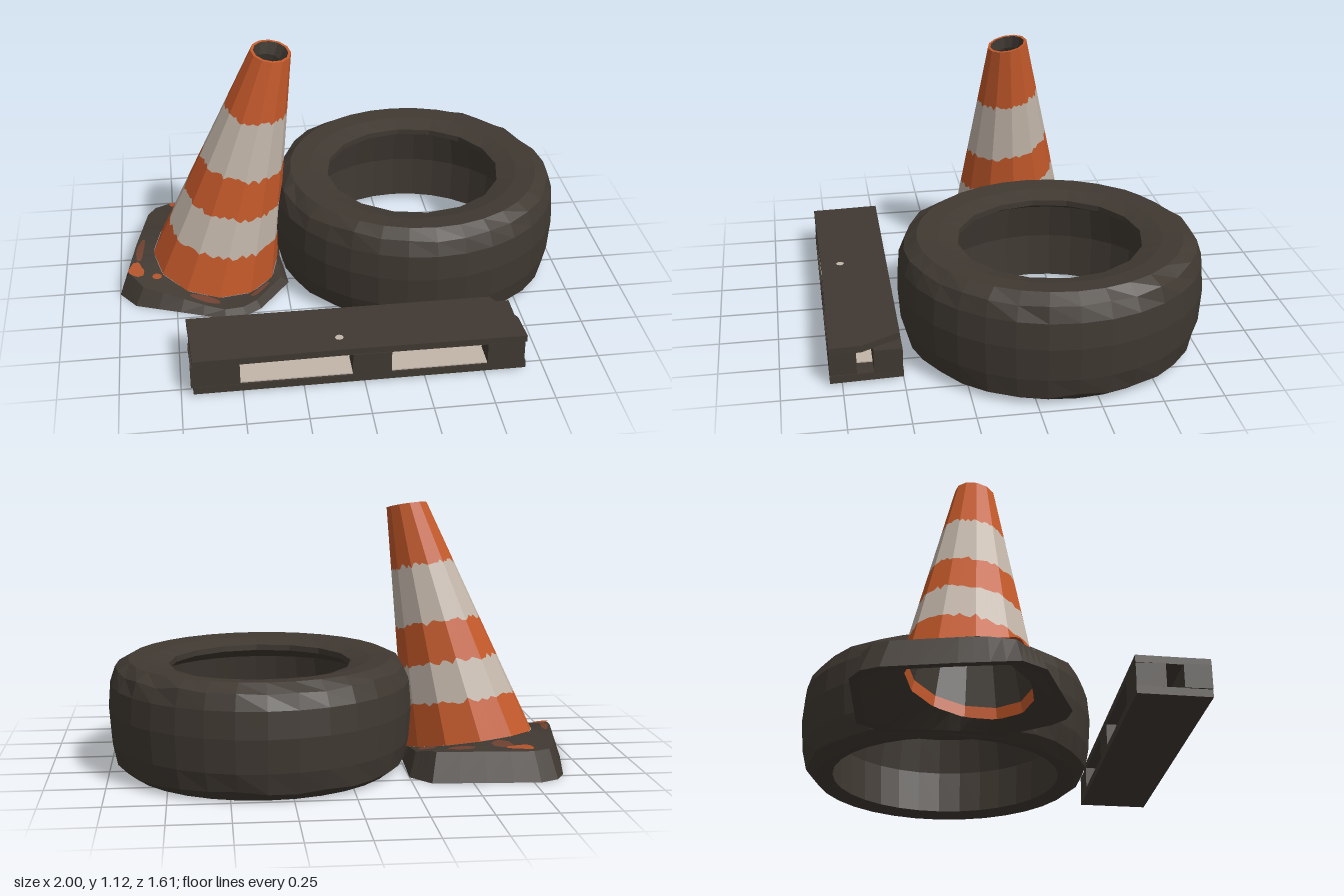
import * as THREE from 'three';

const mat = (name, color, double) => {
  const m = new THREE.MeshStandardMaterial({ color, flatShading: true });
  m.name = name;
  if (double) m.side = THREE.DoubleSide;
  return m;
};
const { lerp, clamp } = THREE.MathUtils;
const hash = (i, k) => { const s = Math.sin(i * 127.1 + k * 311.7) * 43758.5453; return s - Math.floor(s); };

// Surface patch from fn(u, v) -> [x, y, z], with u and v in 0..1
function grid(nu, nv, fn) {
  const pos = [], idx = [];
  for (let j = 0; j <= nv; j++) for (let i = 0; i <= nu; i++) pos.push(...fn(i / nu, j / nv, i));
  for (let j = 0; j < nv; j++) for (let i = 0; i < nu; i++) {
    const a = j * (nu + 1) + i, b = a + 1, c = a + nu + 1, d = c + 1;
    idx.push(a, c, b, b, c, d);
  }
  const g = new THREE.BufferGeometry();
  g.setAttribute('position', new THREE.Float32BufferAttribute(pos, 3));
  g.setIndex(idx);
  g.computeVertexNormals();
  return g;
}

export function createModel() {
  const model = new THREE.Group();
  const rubber = mat('dark rubber', 0x403932);
  const orange = mat('cone orange', 0xc4592a);
  const pale = mat('pale grey', 0xc3b6aa);
  const worn = mat('worn orange', 0xb0522a, true);
  const faded = mat('faded brown', 0x6f4030, true);
  const add = (parent, name, geo, m) => {
    const mesh = new THREE.Mesh(geo, m);
    mesh.name = name;
    parent.add(mesh);
    return mesh;
  };
  const group = name => { const g = new THREE.Group(); g.name = name; model.add(g); return g; };

  // Tyre: closed profile with a narrow upper lip and a wide lower opening
  const seg = 32;
  const profile = [
    [0.50, 0.025], [0.57, 0.006], [0.615, 0.045], [0.637, 0.13], [0.647, 0.27], [0.638, 0.38], [0.612, 0.445],
    [0.56, 0.478], [0.47, 0.472], [0.39, 0.45], [0.39, 0.425], [0.475, 0.38], [0.51, 0.22], [0.50, 0.025],
  ].map(p => new THREE.Vector2(...p));
  const tyreGeo = new THREE.LatheGeometry(profile, seg);
  const tp = tyreGeo.attributes.position;
  for (let i = 0; i < tp.count; i++) {
    const ring = Math.floor(i / profile.length) % seg, k = i % profile.length;
    let s = 1, dy = 0;
    if (k === 9 || k === 10) s = ring % 2 ? Math.cos(Math.PI * 2 / seg) : 1;   // coarser inner hole
    if (k === 2 || k === 6) { s = 0.99 + 0.02 * hash(ring, k); dy = 0.02 * (hash(ring, k + 3) - 0.5); }
    tp.setXYZ(i, tp.getX(i) * s, tp.getY(i) + dy, tp.getZ(i) * s * 1.006);
  }
  tyreGeo.computeVertexNormals();
  add(model, 'tyre', tyreGeo, rubber).position.set(0.355, 0, -0.16);

  // Leaning cone: twelve-sided, with tilted cross-sections
  const cone = group('trafficCone');
  const sides = 12, steps = 72, cx = -0.56, cz = -0.125, step = 2 * Math.PI / sides;
  const conePoint = (t, a, inset = 0) => {
    const local = ((a % step) + step) % step;
    const r = lerp(0.283, 0.087, t) * Math.cos(step / 2) / Math.cos(local - step / 2) - inset;
    const dx = r * Math.cos(a), dz = r * Math.sin(a);
    return [lerp(cx, -0.285, t) + dx, lerp(0.085, 1.11, t) - 0.12 * dx - 0.18 * dz, lerp(cz, -0.085, t) + dz];
  };
  const limits = [0, 0.172, 0.338, 0.503, 0.745, 1];
  const ragged = (k, i) => limits[k] + (k > 0 && k < 5 ? 0.024 * (hash(i % steps, k) - 0.5) : 0);
  for (let k = 0; k < 5; k++) {
    add(cone, k % 2 ? 'paleBand' : 'orangeBand',
      grid(steps, 1, (u, v, i) => conePoint(ragged(k + v, i), u * 2 * Math.PI)), k % 2 ? pale : orange);
  }
  // Thin orange lip over a dark inner wall that thickens downward
  add(cone, 'coneRim', grid(sides, 1, (u, v) => conePoint(1, u * 2 * Math.PI, 0.012 * v)), orange);
  const inside = (t0, t1, in0, in1) =>
    grid(sides, 1, (u, v) => conePoint(lerp(t0, t1, v), -u * 2 * Math.PI, lerp(in0, in1, v)));
  add(cone, 'coneMouth', inside(0.95, 1, 0.035, 0.012), rubber);
  add(cone, 'coneInside', inside(0.05, 0.95, 0.027, 0.035), rubber);
  add(cone, 'coneInsideEdge', inside(0, 0.05, 0.027, 0.027), orange);

  // Bent rubber base with a sloping skirt and an open underside
  const outline = [[-0.24, 0.03], [-0.38, 0.22], [-0.45, 0.27], [-0.54, 0.28], [-0.93, 0.13], [-1, 0.03], [-0.96, -0.2],
    [-0.9, -0.48], [-0.86, -0.55], [-0.78, -0.59], [-0.33, -0.56], [-0.25, -0.46], [-0.26, -0.2]];
  const n = outline.length;
  const edge = q => {
    const i = Math.floor(q + 1e-6), f = q - i, a = outline[i % n], b = outline[(i + 1) % n];
    return [lerp(a[0], b[0], f), lerp(a[1], b[1], f)];
  };
  const inner = (q, inset) => {
    const [x, z] = edge(q);
    return conePoint(0, Math.atan2(z - cz, x - cx), inset);
  };
  const outer = (q, s, top) => {
    const [x, z] = edge(q), dx = (x - cx) * s, dz = (z - cz) * s;
    return [cx + dx, top ? clamp(0.085 - 0.12 * dx - 0.18 * dz, 0.026, 0.125) : 0.004, cz + dz];
  };
  const rings = [q => inner(q, 0.027), q => outer(q, 0.92), q => outer(q, 1),
    q => outer(q, 0.9, true), q => inner(q, -0.002)];
  add(cone, 'coneBase', grid(n * 4, rings.length - 1, (u, v) => rings[Math.round(v * 4)](u * n)), rubber);

  // Remains of paint on the base: [outline position, inward position, length, width, material]
  const patches = [[4.9, 0.2, 0.7, 0.5, worn], [9, 0.2, 0.5, 0.3, worn], [9.25, 0.5, 0.25, 0.6, faded],
    [9.75, 0.3, 0.3, 0.4, faded], [10.7, 0.35, 0.9, 0.6, faded], [3.25, 0.5, 0.4, 0.6, faded],
    [0.7, 0.5, 0.7, 0.45, faded], [5.7, 0.3, 0.8, 0.35, faded], [4.2, 0.7, 0.4, 0.35, worn]];
  for (const [q0, v0, len, wid, m] of patches) {
    add(cone, 'wornPaint', grid(6, 2, (u, v) => {
      const q = q0 + (u - 0.5) * len, w = v0 + (v - 0.5) * wid * (0.4 + 0.6 * Math.sin(Math.PI * u));
      const a = outer(q, 0.9, true), b = inner(q, 0);
      return a.map((c, i) => lerp(c, b[i], w) + (i === 1 ? 0.007 : 0));
    }), m);
  }

  // Hollow pallet beam
  const beam = group('palletBeam');
  const slab = (name, pts, y, h, hole) => {
    const shape = new THREE.Shape(pts.map(([x, z]) => new THREE.Vector2(x, -z)));
    if (hole) shape.holes.push(new THREE.Path().absarc(hole[0], -hole[1], 0.018, 0, Math.PI * 2, true));
    const g = new THREE.ExtrudeGeometry(shape, { depth: h, bevelEnabled: false, curveSegments: 4 });
    add(beam, name, g.rotateX(-Math.PI / 2).translate(0, y, 0), rubber);
  };
  slab('topBoard', [[-0.715, 0.5], [0.58, 0.505], [0.665, 0.67], [0.672, 0.8], [-0.1, 0.795], [-0.7, 0.802], [-0.705, 0.68]],
    0.145, 0.03, [-0.095, 0.71]);
  slab('bottomBoard', [[-0.715, 0.5], [0.66, 0.5], [0.672, 0.8], [-0.7, 0.802]], 0.015, 0.033);
  for (const [x0, x1] of [[-0.71, -0.51], [-0.05, 0.11], [0.51, 0.665]]) {
    for (const [z0, z1] of [[0.502, 0.62], [0.69, 0.8]]) {
      const block = add(beam, 'spacerBlock', new THREE.BoxGeometry(x1 - x0, 0.1, z1 - z0), rubber);
      block.position.set((x0 + x1) / 2, 0.097, (z0 + z1) / 2);
    }
  }
  // Pale floors inside the openings
  add(beam, 'innerFloor', new THREE.BoxGeometry(1.2, 0.006, 0.285), pale).position.set(-0.02, 0.05, 0.651);
  return model;
}
